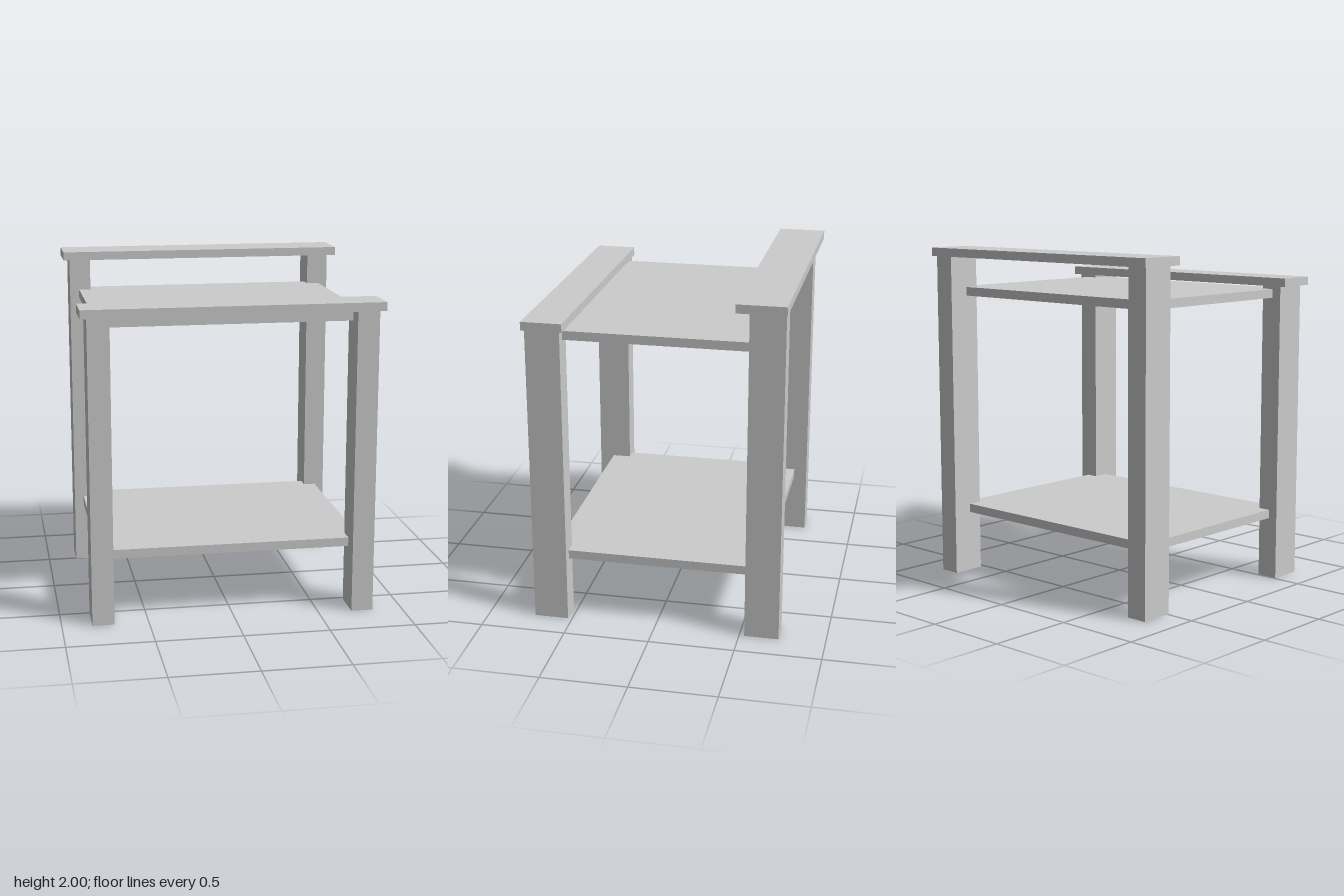
import * as THREE from 'three';

const material = new THREE.MeshStandardMaterial({ color: 0xcccccc, flatShading: true });

// Box given by its lower and upper limits on each axis
function block(name, [x0, x1], [y0, y1], [z0, z1]) {
  const mesh = new THREE.Mesh(new THREE.BoxGeometry(x1 - x0, y1 - y0, z1 - z0), material);
  mesh.name = name;
  mesh.position.set((x0 + x1) / 2, (y0 + y1) / 2, (z0 + z1) / 2);
  return mesh;
}

export function createModel() {
  const table = new THREE.Group();
  table.name = 'sideTable';

  const leftX = [0.697, 0.824];
  const rightX = [-0.826, -0.699];
  const frontHeight = 1.78;
  const backHeight = 1.95;
  const legDepth = 0.2;

  // Legs: the right pair stands slightly inward of the left pair
  const legs = [
    ['frontLeftLeg', leftX, frontHeight, 0.525],
    ['frontRightLeg', rightX, frontHeight, 0.508],
    ['backLeftLeg', leftX, backHeight, -0.73],
    ['backRightLeg', rightX, backHeight, -0.692],
  ];
  for (const [name, x, height, z] of legs) {
    table.add(block(name, x, [0, height], [z, z + legDepth]));
  }

  // Shelves let into the legs
  for (const [name, y] of [['lowerShelf', 0.367], ['upperShelf', 1.711]]) {
    table.add(block(name, [-0.77, 0.768], [y, y + 0.052], [-0.612, 0.62]));
  }

  // Rails capping the front and back leg pairs
  const railX = [-0.864, 0.861];
  table.add(block('frontRail', railX, [frontHeight, frontHeight + 0.05], [0.5, 0.735]));
  table.add(block('backRail', railX, [backHeight, backHeight + 0.05], [-0.738, -0.46]));

  return table;
}
